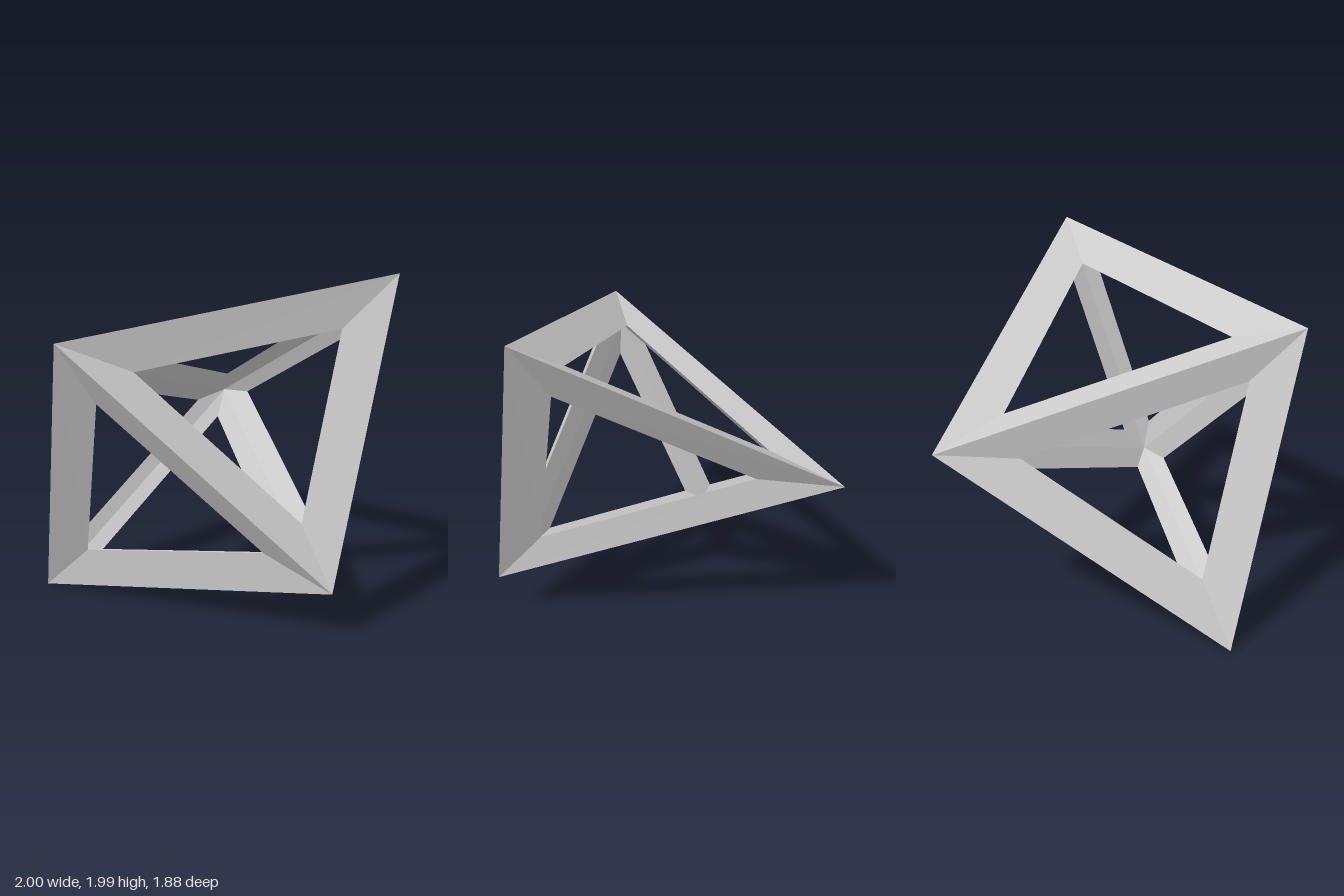
import * as THREE from 'three';

const DEPTH = 0.062; // distance from the outer skin to the middle surface
const INSET = 0.15;  // width of the frame on the middle surface

const v = (x, y, z) => new THREE.Vector3(x, y, z);

// Corners of the triangular bipyramid: middle ring 0, 2, 3 and apexes 1, 4
const outer = [
  v(-1, 1.66, -0.34),
  v(0.34, 1.99, 0.94),
  v(1, 1.09, -0.70),
  v(-0.19, 0.29, 0.895),
  v(-0.59, 0, -0.94),
];
const faces = [[0, 1, 2], [3, 2, 1], [0, 3, 1], [0, 2, 4], [2, 3, 4], [3, 0, 4]];

// Step that moves a corner so its faces shift by DEPTH
function cornerStep(i) {
  const parts = faces.filter(f => f.includes(i)).map(f => {
    const k = f.indexOf(i);
    const a = outer[f[(k + 1) % 3]].clone().sub(outer[i]);
    const b = outer[f[(k + 2) % 3]].clone().sub(outer[i]);
    return { angle: a.angleTo(b), normal: a.clone().cross(b).normalize() };
  });
  const n = v(0, 0, 0);
  parts.forEach(p => n.addScaledVector(p.normal, p.angle));
  n.normalize();
  let sum = 0, total = 0;
  parts.forEach(p => { sum += p.angle * n.dot(p.normal); total += p.angle; });
  return n.multiplyScalar(DEPTH * total / sum);
}

// Corners of a triangle moved inwards by INSET from each side
function insetTriangle(corners) {
  return corners.map((c, k) => {
    const a = corners[(k + 1) % 3].clone().sub(c).normalize();
    const b = corners[(k + 2) % 3].clone().sub(c).normalize();
    return a.clone().add(b).multiplyScalar(INSET / Math.sin(a.angleTo(b))).add(c);
  });
}

export function createModel() {
  const group = new THREE.Group();
  group.name = 'bipyramidFrame';
  const material = new THREE.MeshStandardMaterial({ color: 0xcccccc, flatShading: true });

  const steps = outer.map((_, i) => cornerStep(i));
  const middle = outer.map((p, i) => p.clone().sub(steps[i]));
  const inner = outer.map((p, i) => p.clone().addScaledVector(steps[i], -2));
  const holes = faces.map(f => insetTriangle(f.map(i => middle[i])));

  // Collect the outer and inner strip on each side of every edge
  const beams = new Map();
  faces.forEach((f, n) => {
    for (let k = 0; k < 3; k++) {
      const m = (k + 1) % 3, i = f[k], j = f[m];
      const key = Math.min(i, j) + '-' + Math.max(i, j);
      if (!beams.has(key)) beams.set(key, []);
      const p = holes[n][k], q = holes[n][m];
      beams.get(key).push([outer[i], outer[j], q, p], [inner[j], inner[i], p, q]);
    }
  });

  // One mitred beam per edge
  for (const [key, quads] of beams) {
    const points = quads.flatMap(([a, b, c, d]) => [a, b, c, a, c, d]);
    const geometry = new THREE.BufferGeometry().setFromPoints(points);
    geometry.computeVertexNormals();
    const beam = new THREE.Mesh(geometry, material);
    beam.name = 'beam ' + key;
    group.add(beam);
  }
  return group;
}
